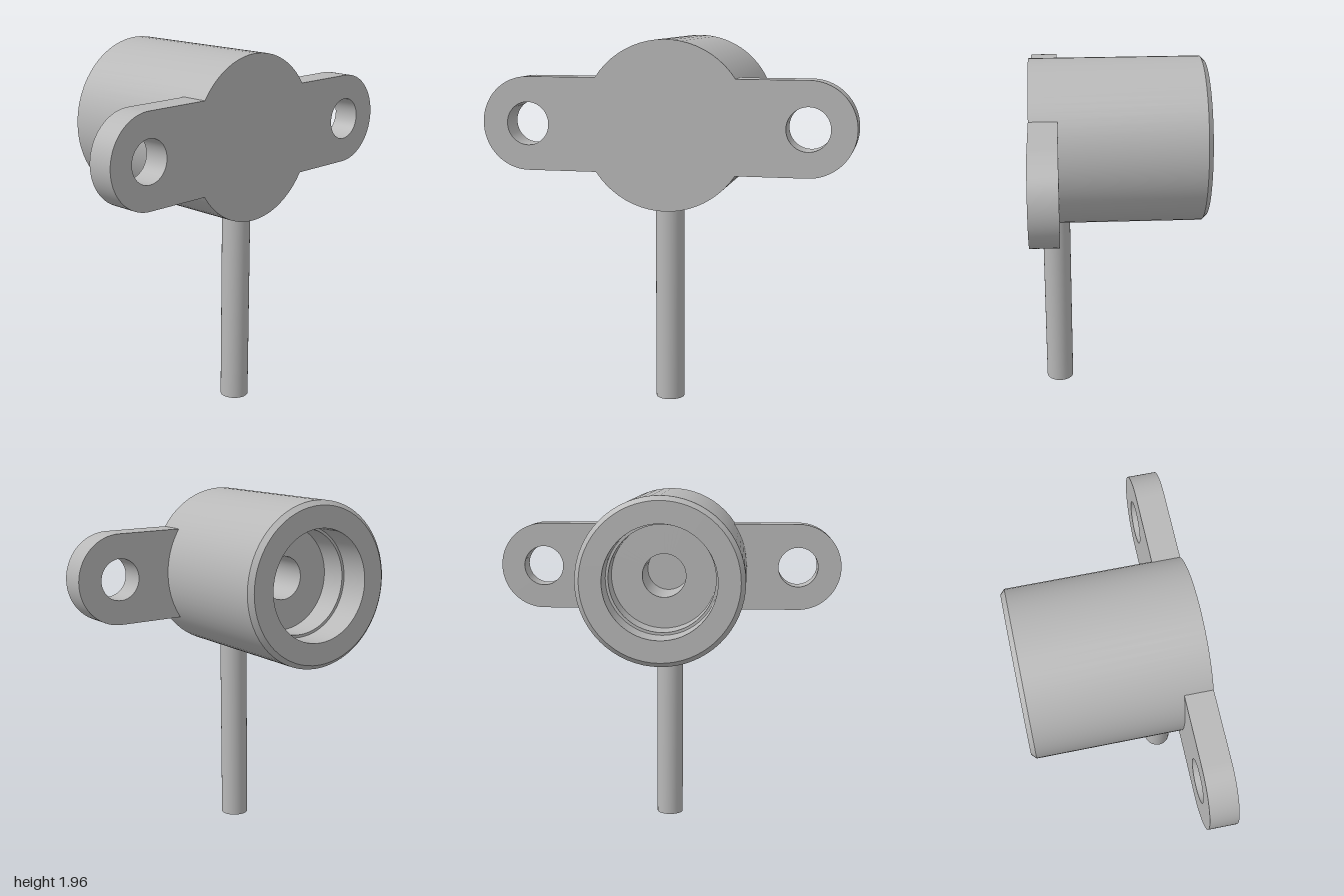
import * as THREE from 'three';
import { toCreasedNormals } from 'three/addons/utils/BufferGeometryUtils.js';

const AXIS_Y = 1.505;   // height of the housing axis
const FRONT = 0.475;    // z of the front face

export function createModel() {
  const model = new THREE.Group();
  model.name = 'flangedHousing';
  const metal = new THREE.MeshStandardMaterial({ color: 0xb8b8b8 });
  metal.name = 'plain grey';

  const add = (name, geometry, x, y, z) => {
    const mesh = new THREE.Mesh(toCreasedNormals(geometry, 0.5), metal);
    mesh.name = name;
    mesh.position.set(x, y, z);
    model.add(mesh);
    return mesh;
  };

  // Housing: chamfered cylinder with a stepped blind bore at the back
  const profile = [
    [0, 0.2], [0.12, 0.2], [0.12, -0.145],     // small central hole
    [0.29, -0.145], [0.29, -0.3],              // inner bore
    [0.305, -0.3], [0.305, -0.475],            // mouth of the bore
    [0.425, -0.475], [0.45, -0.45],            // rim and chamfer
    [0.45, FRONT], [0, FRONT],                 // outer wall and front face
  ].map(([r, h]) => new THREE.Vector2(r, h));
  add('housing', new THREE.LatheGeometry(profile, 64).rotateX(Math.PI / 2), 0, AXIS_Y, 0);

  // Mounting ears: rounded arms with a bolt hole, one on each side
  const ear = new THREE.Shape();
  ear.moveTo(0.37, -0.25);
  ear.lineTo(0.75, -0.25);
  ear.absarc(0.75, 0, 0.25, -Math.PI / 2, Math.PI / 2, false);
  ear.lineTo(0.37, 0.25);
  ear.closePath();
  ear.holes.push(new THREE.Path().absarc(0.75, 0, 0.115, 0, Math.PI * 2, true));
  const earGeometry = new THREE.ExtrudeGeometry(ear, {
    depth: 0.15, bevelEnabled: false, curveSegments: 28,
  });
  add('leftEar', earGeometry, 0, AXIS_Y, FRONT - 0.15);
  add('rightEar', earGeometry.clone().rotateZ(Math.PI), 0, AXIS_Y, FRONT - 0.15);

  // Post hanging below the housing
  add('post', new THREE.CylinderGeometry(0.077, 0.077, 1.1, 32), 0, 0.55, 0.345);

  return model;
}
